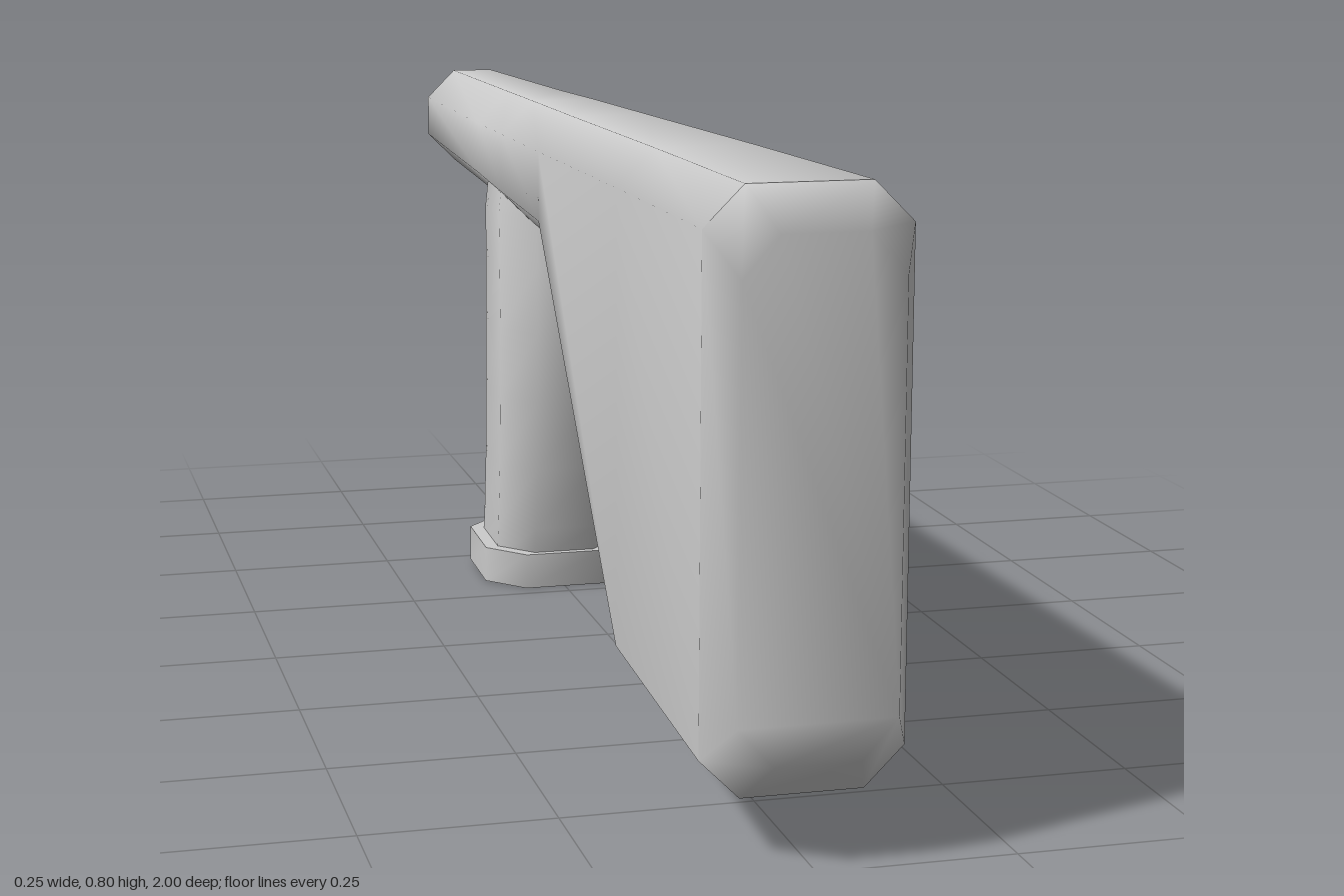
import * as THREE from 'three';

const material = new THREE.MeshStandardMaterial({ color: 0xcccccc });

// Eight-sided rectangle with cut corners, counter-clockwise in (u, v)
function octagon(hu, hv, cu, cv = cu) {
  return [
    [hu, cv - hv], [hu, hv - cv], [hu - cu, hv], [cu - hu, hv],
    [-hu, hv - cv], [-hu, cv - hv], [cu - hu, -hv], [hu - cu, -hv],
  ];
}

// Skin a list of eight-point rings, with optional smooth end caps
function loft(rings, capStart, capEnd) {
  const n = 8, index = [], last = (rings.length - 1) * n;
  for (let r = 0; r < rings.length - 1; r++) {
    for (let i = 0; i < n; i++) {
      const a = r * n + i, b = r * n + (i + 1) % n;
      index.push(a, b, b + n, a, b + n, a + n);
    }
  }
  for (let i = 1; i < n - 1; i++) {
    if (capStart) index.push(0, i + 1, i);
    if (capEnd) index.push(last, last + i, last + i + 1);
  }
  const geometry = new THREE.BufferGeometry();
  geometry.setAttribute('position', new THREE.Float32BufferAttribute(rings.flat(2), 3));
  geometry.setIndex(index);
  geometry.computeVertexNormals();
  return geometry;
}

// Upright section at depth z
const bodyRing = ([z, bottom, top, hw, cu, cv]) =>
  octagon(hw, (top - bottom) / 2, cu, cv).map(([x, y]) => [x, y + (top + bottom) / 2, z]);

// Level section at height y, tilted slightly along z
const gripRing = ([y, z0, hz, hx, cut, tilt = 0]) =>
  octagon(hz, hx, cut).map(([z, x]) => [x, y - tilt * z, z + z0]);

function addPart(group, name, geometry) {
  const mesh = new THREE.Mesh(geometry, material);
  mesh.name = name;
  group.add(mesh);
}

export function createModel() {
  const model = new THREE.Group();
  model.name = 'grippedStock';

  // Tapering bar that deepens into a broad paddle: z, bottom, top, half width, corner cuts
  const face = [0.94, 0.08, 0.805, 0.127, 0.05, 0.05];
  addPart(model, 'body', loft([
    [-1, 0.605, 0.765, 0.08, 0.047, 0.047],
    [-0.49, 0.595, 0.775, 0.093, 0.05, 0.05],
    [-0.28, 0.59, 0.78, 0.099, 0.05, 0.05],
    [0.01, 0.585, 0.786, 0.106, 0.05, 0.05],
    [0.51, 0.093, 0.797, 0.117, 0.05, 0.05],
    face,
  ].map(bodyRing), true, false));

  // Bevelled end pad
  addPart(model, 'endPad', loft([
    face,
    [1, 0.135, 0.755, 0.098, 0.045, 0.05],
  ].map(bodyRing), false, true));

  // Curved handle: height, z centre, half depth, half width, corner cut
  addPart(model, 'grip', loft([
    [0.04, -0.395, 0.105, 0.098, 0.05],
    [0.1, -0.382, 0.105, 0.098, 0.05],
    [0.2, -0.368, 0.105, 0.098, 0.05],
    [0.31, -0.361, 0.105, 0.098, 0.05],
    [0.42, -0.361, 0.105, 0.097, 0.05],
    [0.52, -0.371, 0.103, 0.095, 0.05],
    [0.6, -0.386, 0.102, 0.092, 0.05],
    [0.66, -0.39, 0.1, 0.085, 0.05],
  ].map(gripRing), false, false));

  // Foot collar with sharp-edged flat ends
  const low = gripRing([0.007, -0.398, 0.118, 0.118, 0.055, 0.03]);
  const high = gripRing([0.063, -0.393, 0.118, 0.118, 0.055, 0.03]);
  addPart(model, 'footSides', loft([low, high], false, false));
  addPart(model, 'footBottom', loft([low], true, false));
  addPart(model, 'footTop', loft([high], false, true));

  return model;
}
